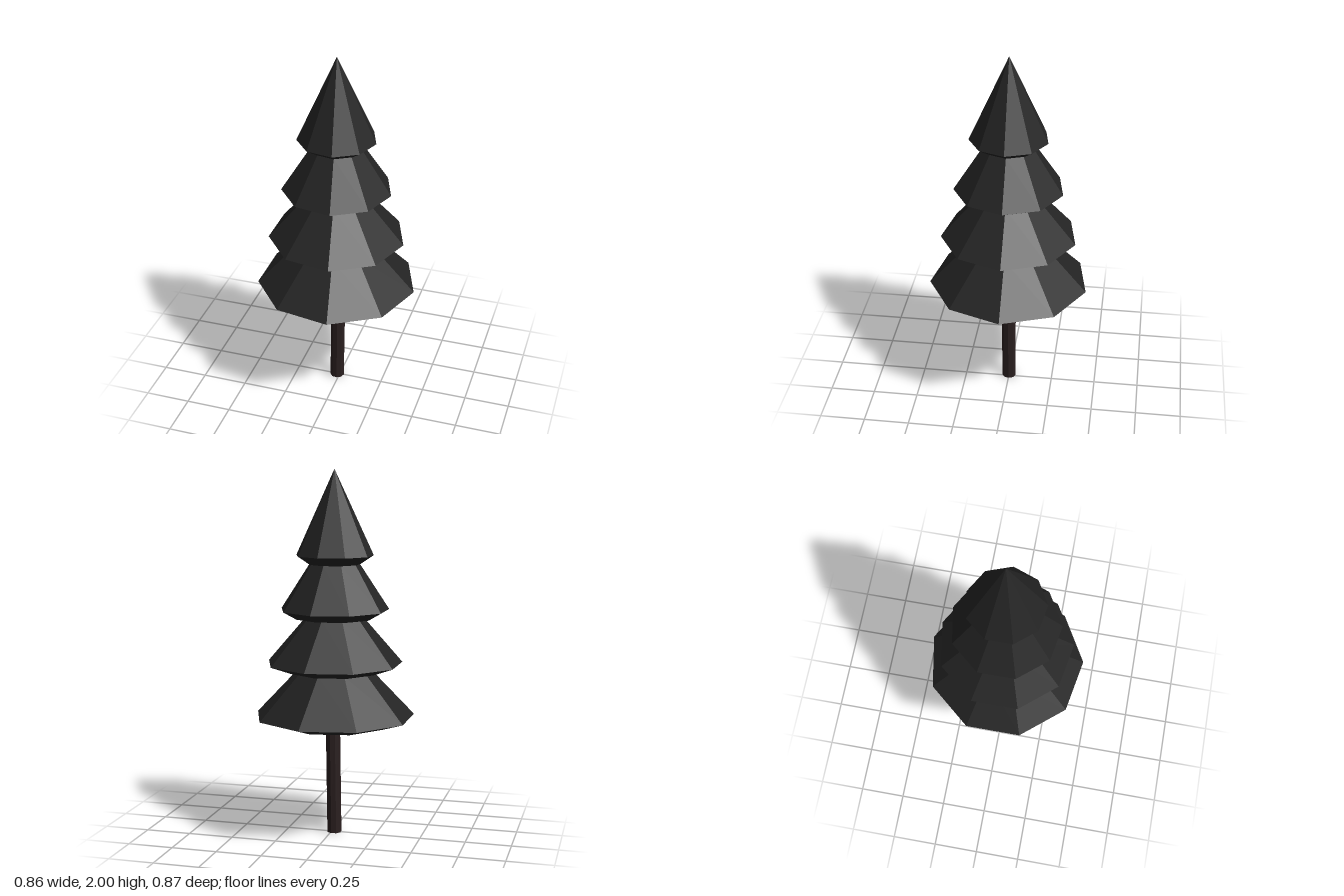
import * as THREE from 'three';

const SIDES = 9;
const AXIS_X = -0.015;

// Unshared vertices give every facet its own flat normal
function faceted(geometry) {
  const flat = geometry.toNonIndexed();
  flat.computeVertexNormals();
  return flat;
}

export function createModel() {
  const tree = new THREE.Group();
  tree.name = 'pineTree';

  const foliage = new THREE.MeshStandardMaterial({ color: 0x242424, flatShading: true });
  foliage.name = 'charcoal foliage';
  const bark = new THREE.MeshStandardMaterial({ color: 0x2a1f1f, flatShading: true });
  bark.name = 'dark brown bark';

  // Foliage tiers: flat underside, bevelled skirt, then a slope up to the next tier
  const tiers = [
    { inner: 0, base: 0.62, under: 0.307, rimY: 0.663, rim: 0.441, topY: 0.912, top: 0.205 },
    { inner: 0.205, base: 0.912, under: 0.256, rimY: 0.955, rim: 0.374, topY: 1.204, top: 0.159 },
    { inner: 0.159, base: 1.204, under: 0.222, rimY: 1.247, rim: 0.299, topY: 1.494, top: 0.138 },
    { inner: 0.138, base: 1.494, under: 0.143, rimY: 1.54, rim: 0.213, topY: 2, top: 0 },
  ];
  tiers.forEach((t, i) => {
    const profile = [
      new THREE.Vector2(t.inner, t.base),
      new THREE.Vector2(t.under, t.base),
      new THREE.Vector2(t.rim, t.rimY),
      new THREE.Vector2(t.top, t.topY),
    ];
    const geometry = new THREE.LatheGeometry(profile, SIDES, Math.PI / 2);
    const tier = new THREE.Mesh(faceted(geometry), foliage);
    tier.name = `foliageTier${i + 1}`;
    tier.position.x = AXIS_X;
    tree.add(tier);
  });

  // Slim trunk, sheared to lean slightly toward +x
  const height = 0.64;
  const trunkGeometry = new THREE.CylinderGeometry(0.04, 0.04, height, SIDES, 1, false, Math.PI / 2);
  trunkGeometry.translate(0, height / 2, 0);
  const p = trunkGeometry.attributes.position;
  for (let i = 0; i < p.count; i++) p.setX(i, p.getX(i) + AXIS_X + 0.014 * p.getY(i));
  const trunk = new THREE.Mesh(faceted(trunkGeometry), bark);
  trunk.name = 'trunk';
  tree.add(trunk);

  return tree;
}
